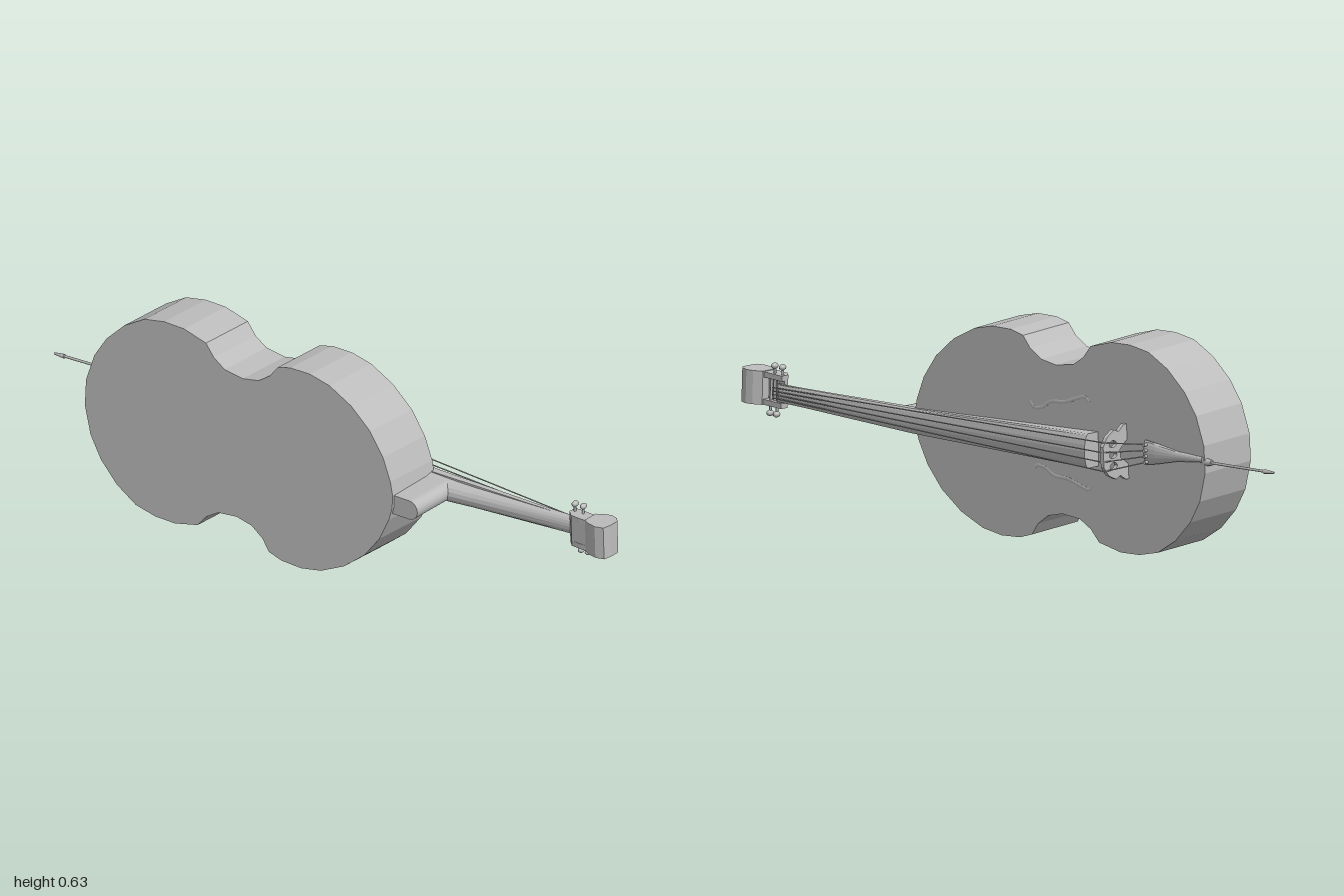
import * as THREE from 'three';

const grey = new THREE.MeshStandardMaterial({ color: 0xbcbcbc });
const V = (x, y, z) => new THREE.Vector3(x, y, z);

function add(parent, name, geometry) {
  const mesh = new THREE.Mesh(geometry, grey);
  mesh.name = name;
  parent.add(mesh);
  return mesh;
}

function extrude(shape, depth) {
  return new THREE.ExtrudeGeometry(shape, { depth, bevelEnabled: false, curveSegments: 6 });
}

const polygon = (pts) => new THREE.Shape(pts.map(([x, y]) => new THREE.Vector2(x, y)));

// Round rod between two points
function rod(parent, name, a, b, r, r2 = r) {
  const d = b.clone().sub(a);
  const mesh = add(parent, name, new THREE.CylinderGeometry(r2, r, d.length(), 8));
  mesh.position.copy(a).addScaledVector(d, 0.5);
  mesh.quaternion.setFromUnitVectors(V(0, 1, 0), d.normalize());
  return mesh;
}

// D-shaped section across x: flat side at zFlat, straight cheeks to zEdge, then an arc
function dRing(x, cy, half, zFlat, zEdge, bulge) {
  const pts = [V(x, cy + half, zFlat)];
  for (let i = 0; i <= 8; i++) {
    const a = Math.PI * i / 8;
    pts.push(V(x, cy + half * Math.cos(a), zEdge + bulge * Math.sin(a)));
  }
  pts.push(V(x, cy - half, zFlat));
  return bulge < 0 ? pts.reverse() : pts;
}

// Faceted skin through rings ordered along +x, with end caps
function loft(rings) {
  const out = [], n = rings[0].length;
  const tri = (...p) => p.forEach((v) => out.push(v.x, v.y, v.z));
  for (let k = 0; k + 1 < rings.length; k++) {
    for (let i = 0; i < n; i++) {
      const j = (i + 1) % n, p = rings[k], q = rings[k + 1];
      tri(p[i], p[j], q[i]);
      tri(p[j], q[j], q[i]);
    }
  }
  const first = rings[0], last = rings[rings.length - 1];
  for (let i = 1; i + 1 < n; i++) {
    tri(first[0], first[i + 1], first[i]);
    tri(last[0], last[i], last[i + 1]);
  }
  const g = new THREE.BufferGeometry();
  g.setAttribute('position', new THREE.Float32BufferAttribute(out, 3));
  g.computeVertexNormals();
  return g;
}

export function createModel() {
  const model = new THREE.Group();
  model.name = 'stringInstrument';

  // Sound box, leaning slightly; its belly faces -z
  const body = new THREE.Group();
  body.name = 'body';
  body.position.set(-0.2, 0.316, 0.046);
  body.rotation.set(-0.045, 0.015, -0.018);
  model.add(body);
  const half = [[-0.555, 0.04], [-0.53, 0.125], [-0.49, 0.19], [-0.43, 0.25], [-0.36, 0.292],
    [-0.29, 0.306], [-0.22, 0.306], [-0.14, 0.286], [-0.11, 0.25], [-0.07, 0.225], [-0.005, 0.217],
    [0.05, 0.228], [0.09, 0.256], [0.115, 0.29], [0.16, 0.303], [0.23, 0.305], [0.3, 0.291],
    [0.38, 0.252], [0.45, 0.195], [0.5, 0.128], [0.53, 0.06], [0.54, 0.02]];
  const outline = [...half.map(([x, y]) => [x, -y]), ...half.slice().reverse()];
  add(body, 'soundBox', extrude(polygon(outline), 0.198).translate(0, 0, -0.099));
  const belly = -0.099;

  // Slim S-shaped sound holes, laid on the belly as thin plates
  for (const s of [-1, 1]) {
    const curve = new THREE.CatmullRomCurve3([[0.1, 0.1], [0.085, 0.085], [0.055, 0.088], [0.02, 0.108],
      [-0.03, 0.112], [-0.08, 0.128], [-0.11, 0.135], [-0.125, 0.12]].map(([x, y]) => V(x, y * s, 0)));
    const hole = add(body, 'soundHole', new THREE.TubeGeometry(curve, 28, 0.006, 6, false));
    hole.scale.z = 0.2;
    hole.position.z = belly;
  }

  // Bridge: arched plate standing on the belly, with cut-outs
  const side = [[0.08, 0.012], [0.064, 0.035], [0.072, 0.055], [0.056, 0.085], [0.03, 0.104]];
  const foot = [[0.035, 0], [0.08, 0]];
  const right = [[0.012, 0.032], ...foot, ...side];
  const bridge = polygon([...right, ...right.slice().reverse().map(([y, h]) => [-y, h])]);
  for (const y of [-0.032, 0, 0.032]) {
    const cut = new THREE.Path();
    cut.absellipse(y, 0.062, 0.01, 0.016, 0, Math.PI * 2, true);
    bridge.holes.push(cut);
  }
  const bridgeGeo = extrude(bridge, 0.012);
  bridgeGeo.applyMatrix4(new THREE.Matrix4().makeBasis(V(0, 1, 0), V(0, 0, -1), V(-1, 0, 0)));
  add(body, 'bridge', bridgeGeo).position.set(-0.252, -0.006, belly);

  // Tailpiece, with the fine tuners and the short string ends up to the bridge
  add(body, 'tailpiece', loft([
    dRing(-0.55, 0, 0.007, belly + 0.004, belly - 0.004, -0.004),
    dRing(-0.46, 0, 0.014, belly - 0.002, belly - 0.006, -0.007),
    dRing(-0.38, 0, 0.03, belly - 0.004, belly - 0.008, -0.01),
    dRing(-0.34, 0, 0.036, belly - 0.004, belly - 0.008, -0.01)]));
  body.updateMatrixWorld(true);

  // Four strings: tailpiece to bridge, then bridge to nut
  for (let i = 0; i < 4; i++) {
    const t = i - 1.5;
    const tail = V(-0.35, t * 0.017, belly - 0.016);
    const top = V(-0.258, -0.006 + t * 0.028, belly - 0.105 + Math.abs(t) * 0.005);
    rod(body, 'stringTail', tail, top, 0.0018);
    rod(body, 'fineTuner', tail, tail.clone().add(V(0, 0, -0.012)), 0.005);
    rod(model, 'string', body.localToWorld(top.clone()), V(0.87, 0.312 + t * 0.01, -0.077), 0.0018);
  }

  // End pin with a thicker tip
  rod(model, 'endPin', V(-0.75, 0.314, -0.036), V(-0.99, 0.312, -0.021), 0.004);
  rod(model, 'endPinTip', V(-0.965, 0.312, -0.0225), V(-1, 0.312, -0.02), 0.007, 0.003);
  rod(model, 'endPinCollar', V(-0.74, 0.314, -0.036), V(-0.775, 0.314, -0.034), 0.012, 0.009);

  // Neck, fingerboard and rounded heel
  add(model, 'fingerboard', loft([
    dRing(-0.355, 0.303, 0.05, -0.05, -0.094, -0.016),
    dRing(0.34, 0.298, 0.036, -0.05, -0.073, -0.01),
    dRing(0.85, 0.311, 0.025, -0.06, -0.068, -0.007)]));
  add(model, 'neck', loft([
    dRing(0.32, 0.298, 0.034, -0.066, -0.04, 0.04),
    dRing(0.42, 0.298, 0.031, -0.067, -0.045, 0.035),
    dRing(0.5, 0.3, 0.029, -0.067, -0.05, 0.031),
    dRing(0.86, 0.312, 0.026, -0.07, -0.062, 0.014)]));
  const heel = new THREE.Shape();
  heel.moveTo(0.3, 0.27);
  heel.lineTo(0.397, 0.27);
  heel.absarc(0.397, 0.3, 0.029, -Math.PI / 2, Math.PI / 2, false);
  heel.lineTo(0.3, 0.329);
  add(model, 'heel', extrude(heel, 0.18).translate(0, 0, -0.05));

  // Head group: pegbox cheeks, floor, pegs and chunky scroll
  const head = new THREE.Group();
  head.name = 'head';
  head.position.set(0.84, 0.315, 0);
  head.rotation.z = 0.035;
  model.add(head);
  // Side profile given as (x, z), extruded across the width
  const slab = (name, pts, y0, width) => {
    const g = extrude(polygon(pts.map(([x, z]) => [x, -z])), width);
    add(head, name, g.rotateX(-Math.PI / 2).rotateX(Math.PI).rotateX(Math.PI).translate(0, y0, 0))
      .scale.z = 1;
  };
  const cheek = [[0, -0.072], [0, -0.045], [0.02, -0.026], [0.05, -0.022], [0.085, -0.02], [0.085, -0.065]];
  slab('pegboxCheek', cheek, -0.048, 0.016);
  slab('pegboxCheek', cheek, 0.032, 0.016);
  slab('pegboxFloor', [[0, -0.06], [0, -0.045], [0.02, -0.026], [0.085, -0.02], [0.085, -0.04]], -0.04, 0.08);
  slab('scroll', [[0.075, -0.07], [0.075, -0.02], [0.095, -0.008], [0.125, 0], [0.152, -0.006],
    [0.157, -0.03], [0.157, -0.065], [0.145, -0.08], [0.122, -0.088], [0.1, -0.084]], -0.048, 0.098);
  for (const [x, s] of [[0.012, 1], [0.042, 1], [0.03, -1], [0.055, -1]]) {
    rod(head, 'peg', V(x, -s * 0.045, -0.052), V(x, s * 0.066, -0.056), 0.004);
    const knob = add(head, 'pegKnob', new THREE.SphereGeometry(0.01, 8, 6));
    knob.position.set(x, s * 0.07, -0.057);
    knob.scale.set(0.9, 0.9, 1.3);
  }
  return model;
}
